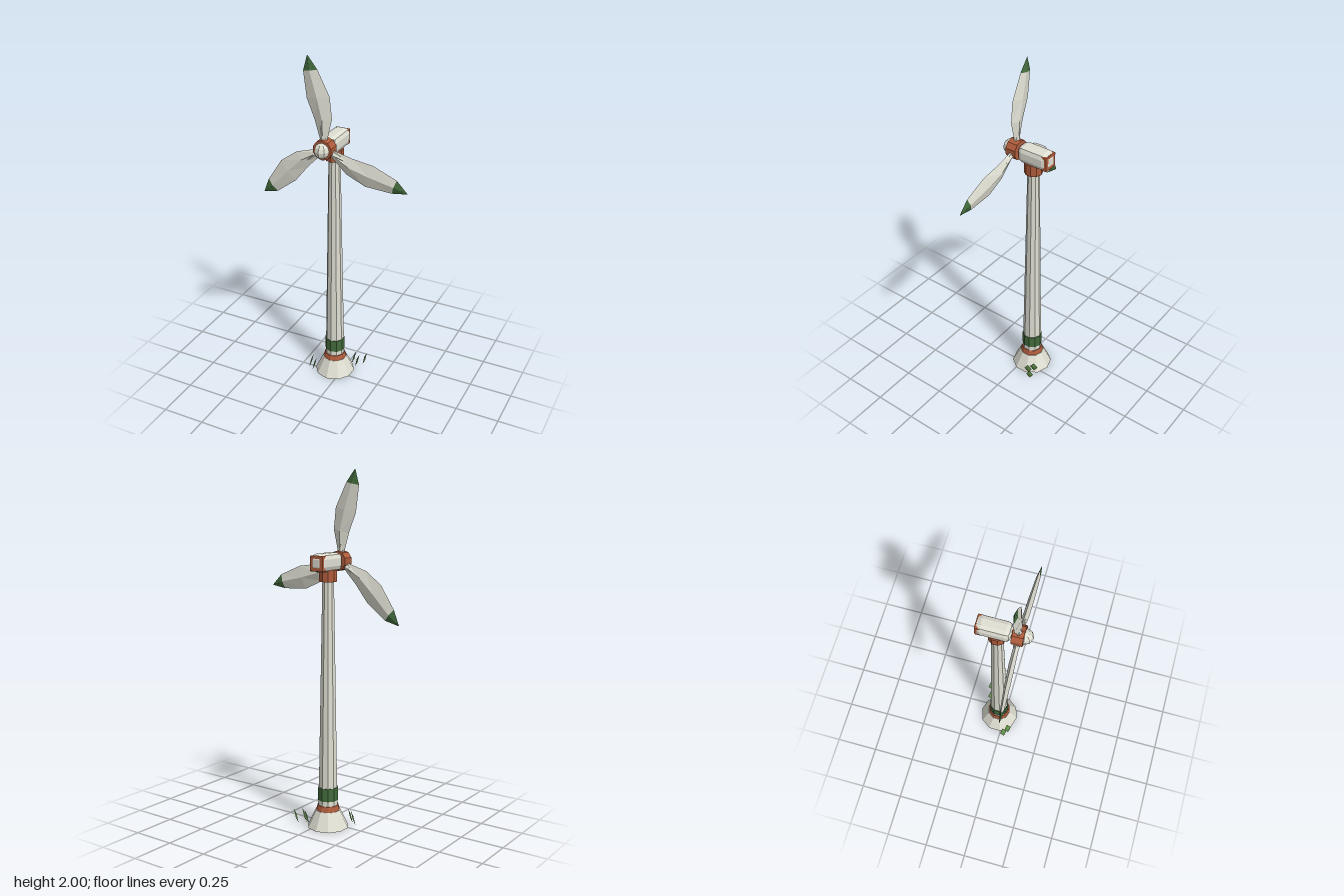
import * as THREE from 'three';
import { RoundedBoxGeometry } from 'three/addons/geometries/RoundedBoxGeometry.js';

const paint = (color) => new THREE.MeshStandardMaterial({ color, flatShading: true });
const AXIS_X = -0.05, AXIS_Z = -0.038, HUB_Y = 1.505;

function add(parent, name, geometry, material, x = 0, y = 0, z = 0) {
  const mesh = new THREE.Mesh(geometry, material);
  mesh.name = name;
  mesh.position.set(x, y, z);
  parent.add(mesh);
  return mesh;
}

// Diamond-section loft: each section is [distance, left edge, right edge, half thickness]
function loftBlade(sections) {
  const positions = [], index = [];
  for (const [u, left, right, t] of sections) {
    const mid = (left + right) / 2;
    positions.push(left, u, 0, mid, u, t, right, u, 0, mid, u, -t);
  }
  for (let s = 0; s < sections.length - 1; s++) {
    for (let k = 0; k < 4; k++) {
      const a = s * 4 + k, b = s * 4 + (k + 1) % 4;
      index.push(a, b, b + 4, a, b + 4, a + 4);
    }
  }
  const geometry = new THREE.BufferGeometry();
  geometry.setAttribute('position', new THREE.Float32BufferAttribute(positions, 3));
  geometry.setIndex(index);
  geometry.computeVertexNormals();
  return geometry;
}

export function createModel() {
  const model = new THREE.Group();
  model.name = 'windTurbine';
  const cream = paint(0xdfdfd3), rust = paint(0xb05c3c);
  const green = paint(0x436b3c), leaf = paint(0x64924a);

  // Tower, stacked from ten-sided rings: name, material, bottom y, top y, bottom radius, top radius
  const rings = [
    ['base', cream, 0, 0.1, 0.118, 0.07],
    ['baseCollar', rust, 0.1, 0.13, 0.068, 0.06],
    ['tower', cream, 0.12, 1.42, 0.056, 0.033],
    ['towerBand', green, 0.16, 0.235, 0.059, 0.058],
    ['towerCap', rust, 1.4, 1.465, 0.051, 0.051],
  ];
  for (const [name, material, y0, y1, r0, r1] of rings) {
    add(model, name, new THREE.CylinderGeometry(r1, r0, y1 - y0, 10), material,
      AXIS_X, (y0 + y1) / 2, AXIS_Z);
  }

  // Nacelle with its rear housing
  add(model, 'nacelle', new RoundedBoxGeometry(0.096, 0.1, 0.192, 1, 0.03), cream,
    AXIS_X, HUB_Y, -0.054);
  add(model, 'rearHousing', new RoundedBoxGeometry(0.084, 0.084, 0.034, 1, 0.004), rust,
    AXIS_X, HUB_Y - 0.002, -0.131);

  // Rotor: hub, nose and three blades
  const rotor = new THREE.Group();
  rotor.name = 'rotor';
  rotor.position.set(AXIS_X, HUB_Y, 0.077);
  model.add(rotor);
  add(rotor, 'hub', new THREE.CylinderGeometry(0.056, 0.056, 0.062, 10).rotateX(Math.PI / 2), rust);
  add(rotor, 'nose', new THREE.SphereGeometry(0.043, 8, 6), cream, 0, 0, 0.034);
  add(rotor, 'shaft', new THREE.CylinderGeometry(0.025, 0.025, 0.06, 8).rotateX(Math.PI / 2), rust, 0, 0, -0.04);

  const joint = [0.425, -0.041, 0.043, 0.011];
  const blade = loftBlade([
    [0.04, -0.016, 0.022, 0.014],
    [0.16, -0.027, 0.075, 0.017],
    [0.28, -0.05, 0.085, 0.016],
    joint,
  ]);
  const tip = loftBlade([joint, [0.504, -0.001, 0.001, 0.001]]);
  const root = new THREE.CylinderGeometry(0.008, 0.02, 0.11, 6);
  for (let i = 0; i < 3; i++) {
    const arm = new THREE.Group();
    arm.name = 'bladeArm';
    arm.rotation.z = THREE.MathUtils.degToRad(10.9 + 120 * i);
    rotor.add(arm);
    add(arm, 'blade', blade, cream);
    add(arm, 'bladeTip', tip, green);
    add(arm, 'bladeRoot', root, cream, 0.004, 0.09, 0);
  }

  // Leaning grass blades: flattened octahedra
  const wide = new THREE.Vector3(0.0115, 0.005, 0.018);
  const tall = new THREE.Vector3(0.0115, 0.043, -0.007);
  const thin = wide.clone().cross(tall).setLength(0.004);
  const grass = new THREE.OctahedronGeometry(1)
    .applyMatrix4(new THREE.Matrix4().makeBasis(wide, tall, thin));
  const spots = [[-0.18, 0.025], [-0.148, 0.045], [0.04, -0.118], [0.072, -0.098], [0.105, -0.134]];
  for (const [x, z] of spots) add(model, 'grass', grass, leaf, x, 0.055, z);

  return model;
}
